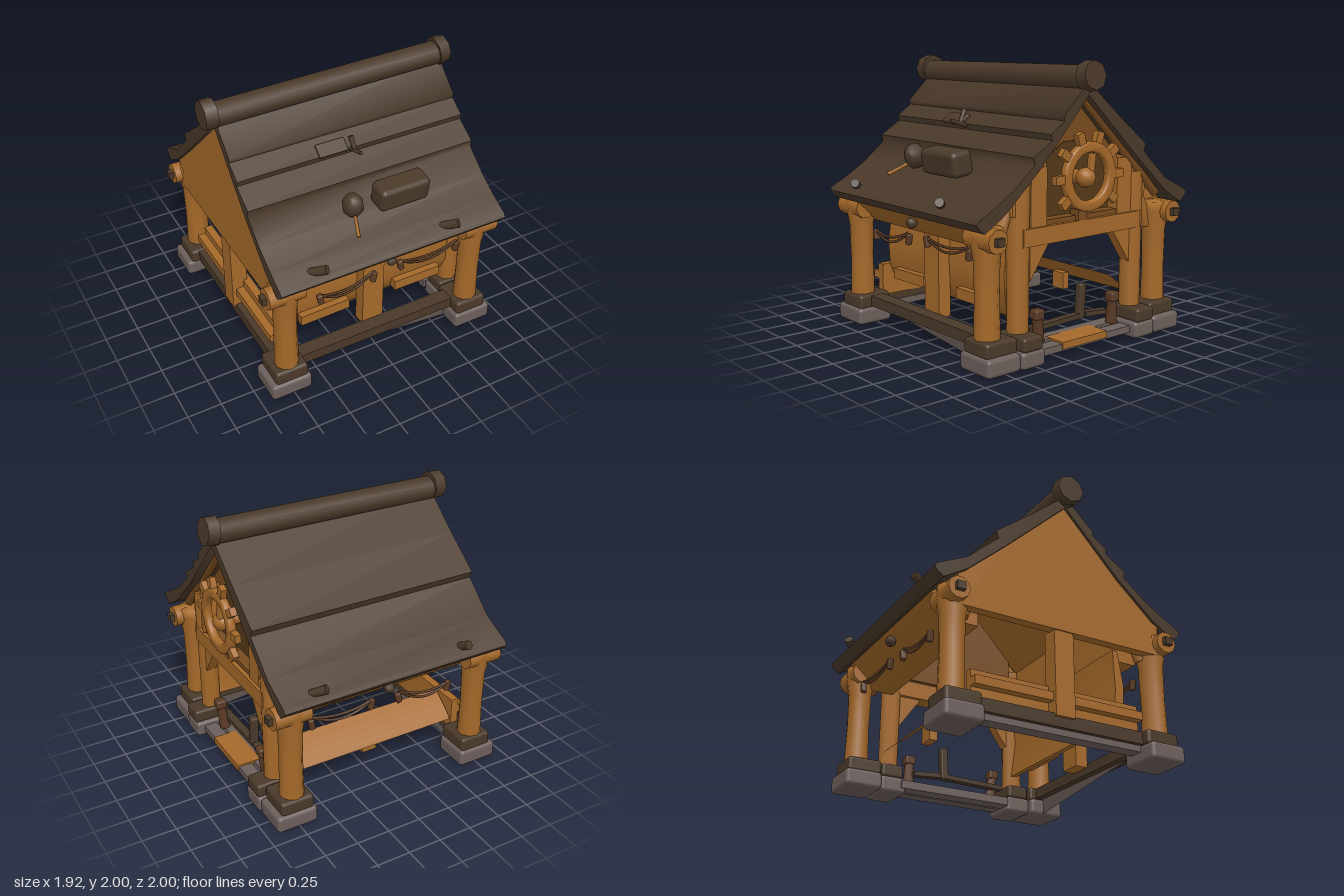
import * as THREE from 'three';
import { toCreasedNormals } from 'three/addons/utils/BufferGeometryUtils.js';
import { RoundedBoxGeometry } from 'three/addons/geometries/RoundedBoxGeometry.js';

const mat = (name, color) => {
  const m = new THREE.MeshStandardMaterial({ color });
  m.name = name;
  return m;
};

export function createModel() {
  const root = new THREE.Group();
  const wood = mat('warm wood', 0xa5692a);
  const shadeWood = mat('brown gable wood', 0x784b1e);
  const darkWood = mat('dark gable board', 0x553818);
  const roofMat = mat('dark roof wood', 0x4a3929);
  const stone = mat('grey stone', 0x6c5f5b);
  const rope = mat('rope brown', 0x5a3a24);
  const sheet = mat('thin stone', 0x60534e);
  const woodSheet = mat('thin wood', 0xa5692a);
  sheet.side = woodSheet.side = THREE.DoubleSide;

  const add = (name, geo, m, x = 0, y = 0, z = 0, rx = 0, ry = 0, rz = 0, parent = root) => {
    const mesh = new THREE.Mesh(geo, m);
    mesh.name = name;
    mesh.position.set(x, y, z);
    mesh.rotation.set(rx, ry, rz);
    parent.add(mesh);
    return mesh;
  };
  const box = (name, m, w, h, d, ...p) => add(name, new THREE.BoxGeometry(w, h, d), m, ...p);
  const block = (name, m, w, h, d, ...p) =>
    add(name, new RoundedBoxGeometry(w, h, d, 2, Math.min(w, h, d) * 0.22), m, ...p);
  // cylinder between two points
  const rod = (name, m, a, b, r0, r1 = r0, sides = 10) => {
    const A = new THREE.Vector3(...a), B = new THREE.Vector3(...b), d = B.clone().sub(A);
    const mesh = add(name, new THREE.CylinderGeometry(r1, r0, d.length(), sides), m);
    mesh.position.copy(A).add(B).multiplyScalar(0.5);
    mesh.quaternion.setFromUnitVectors(new THREE.Vector3(0, 1, 0), d.normalize());
    return mesh;
  };
  // extrude a [z, y] outline along x, softening shallow edges
  const slab = (name, m, pts, x0, x1) => {
    const g = new THREE.ExtrudeGeometry(new THREE.Shape(pts.map(p => new THREE.Vector2(...p))),
      { depth: x1 - x0, bevelEnabled: false });
    g.rotateY(-Math.PI / 2);
    return add(name, toCreasedNormals(g, 1.2), m, x1);
  };

  // Roof slopes with overlapping boards
  slab('frontRoof', roofMat, [[.03, 1.86], [.26, 1.64], [.25, 1.61], [.37, 1.53], [.36, 1.49], [.52, 1.39],
    [.51, 1.34], [.68, 1.2], [.84, 1.1], [.965, 1.035], [.985, 1.01], [.97, .985], [.92, .945],
    [.75, 1.05], [.46, 1.31], [.03, 1.77]], -0.87, 0.9);
  slab('backRoof', roofMat, [[.03, 1.86], [-.27, 1.61], [-.54, 1.4], [-.52, 1.35], [-.75, 1.14], [-.965, 1.035],
    [-.985, 1.01], [-.97, .985], [-.92, .945], [-.75, 1.05], [-.46, 1.31], [.03, 1.77]], -0.88, 0.89);
  // Wooden lining below the roof
  slab('roofLining', wood, [[.03, 1.768], [.46, 1.308], [.75, 1.048], [.74, 1.03], [.45, 1.29], [.03, 1.745],
    [-.45, 1.29], [-.74, 1.03], [-.75, 1.048], [-.46, 1.308]], -.8, .7);

  // Ridge log with thick ends
  rod('ridgeLog', roofMat, [-.9, 1.86, .025], [.9, 1.88, .025], .09);
  rod('ridgeEnd', roofMat, [-.955, 1.88, .025], [-.865, 1.88, .025], .105, .108, 8);
  rod('ridgeEnd', roofMat, [.865, 1.89, .025], [.95, 1.9, .025], .108, .1, 8);

  // Pegs poking out of the eaves
  for (const [x0, z0, x1, z1] of [[-.62, .89, -.53, .975], [.41, .89, .5, .975], [-.53, -.88, -.55, -.975], [.66, -.9, .58, -.975]]) {
    rod('roofPeg', roofMat, [x0, 1.05, z0], [x1, 1.1, z1], .028, .034, 7);
  }

  // Clutter on the front slope: bucket, trough and twig
  add('roofBucket', new THREE.SphereGeometry(.075, 8, 6).scale(1, 1.25, 1.1), roofMat, -.18, 1.31, .69, .2);
  rod('bucketHandle', wood, [-.19, 1.26, .74], [-.24, 1.19, .88], .012, .014, 6);
  block('roofTrough', roofMat, .39, .18, .17, .195, 1.31, .69, .15);
  rod('roofTwig', roofMat, [-.01, 1.52, .36], [-.01, 1.56, .5], .018, .014, 6);
  rod('roofTwig', roofMat, [-.01, 1.53, .42], [-.02, 1.63, .37], .014, .02, 6);
  block('roofPatch', roofMat, .22, .03, .1, -.15, 1.555, .34, .65);

  // Corner posts on stone footings, with top plates and pegs
  const postProfile = [[.09, 0], [.083, .3], [.088, .55], [.115, .7], [.11, .76], [0, .77]]
    .map(p => new THREE.Vector2(...p));
  for (const sz of [1, -1]) {
    for (const sx of [1, -1]) {
      add('cornerPost', new THREE.LatheGeometry(postProfile, 10), wood, sx * .755, .19, sz * .79);
      block('cornerStone', stone, .31, .125, .28, sx * .765, .0625, sz * .77);
      block('cornerPad', roofMat, .25, .11, .26, sx * .755, .165, sz * .76);
      rod('plateEnd', wood, [sx * .64, .885, sz * .82], [sx * .91, .885, sz * .82], .08);
      box('endPeg', roofMat, .05, .055, .06, sx * .92, .885, sz * .82);
      rod('kneeBrace', wood, [sx * .74, .78, sz * .72], [sx * .74, 1.12, sz * .58], .05, .04, 6);
    }
    // Sloping boarded soffit under the eave
    slab('soffit', wood, [[sz * .9, .95], [sz * .72, .78], [sz * .55, .78], [sz * .55, 1.2], [sz * .75, 1.05]], -.66, .7);
    add('centrePeg', new THREE.SphereGeometry(.04, 8, 6), roofMat, .03, .88, sz * .87);
    // Swagged ropes with ties
    for (const [x0, x1, y0, y1] of [[-.5, -.08, .74, .79], [.14, .61, .79, .8]]) {
      for (const sag of [.05, .1]) {
        const c = new THREE.QuadraticBezierCurve3(new THREE.Vector3(x0, y0, sz * .82),
          new THREE.Vector3((x0 + x1) / 2, Math.min(y0, y1) - sag * 1.4 + .01, sz * .84),
          new THREE.Vector3(x1, y1, sz * .82));
        add('rope', new THREE.TubeGeometry(c, 12, .01, 5), rope);
      }
      block('ropeTie', rope, .04, .08, .04, x0, y0 - .03, sz * .82, 0, 0, .2);
      block('ropeTie', rope, .04, .08, .04, x1, y1 - .05, sz * .82, 0, 0, -.2);
    }
  }

  // Front wall: gently bowed boarding, centre post, small ledges and sill
  slab('frontWall', wood, [[.54, .3], [.59, .42], [.6, .6], [.56, .85], [.52, .85], [.53, .55], [.5, .3]], -.68, .7);
  box('frontCentrePost', wood, .17, .62, .1, .005, .49, .64);
  box('frontLedge', wood, .39, .08, .06, -.36, .38, .61, 0, 0, .02);
  box('frontLedge', wood, .39, .08, .06, .42, .385, .61);
  box('frontSill', roofMat, 1.3, .08, .11, 0, .17, .74);

  // Back apron: a curved sheet leaning inward
  const apron = new THREE.PlaneGeometry(1.3, 1, 1, 4).rotateY(Math.PI);
  const ap = apron.attributes.position;
  for (let i = 0; i < ap.count; i++) {
    const t = ap.getY(i) + .5;
    ap.setXYZ(i, ap.getX(i) - .03, .26 + .16 * t, -.65 + .14 * t + .06 * t * t);
  }
  apron.computeVertexNormals();
  add('backApron', apron, woodSheet);
  box('backCentrePost', wood, .12, .13, .06, 0, .24, -.56);

  // Skewed stone skirt below the front sill
  const skirt = new THREE.Shape([[-.62, .14], [.62, .01], [.62, .14]].map(p => new THREE.Vector2(...p)));
  add('stoneSkirt', new THREE.ShapeGeometry(skirt), sheet, 0, 0, .74);

  // Closed gable side (-x)
  slab('closedGable', wood, [[.03, 1.78], [.46, 1.32], [.8, 1.02], [.78, .8], [-.78, .8], [-.8, 1.02], [-.46, 1.32]], -.85, -.78);
  box('sidePost', wood, .12, .62, .15, -.78, .5, .005);
  box('sideWall', wood, .06, .24, 1.3, -.72, .3, 0);
  box('sideRail', wood, .1, .06, 1.3, -.76, .33, 0);
  box('sideSill', roofMat, .12, .09, 1.3, -.76, .165, 0);
  box('sideFooting', stone, .1, .05, 1.3, -.74, .1, 0);

  // Open gable side (+x): boards, beams and inner posts
  slab('gableBoard', shadeWood, [[.03, 1.77], [.46, 1.31], [.47, 1.3], [.47, .93], [-.47, .93], [-.47, 1.3], [-.42, 1.32]], .68, .72);
  slab('gablePanel', darkWood, [[.33, .93], [.33, 1.3], [.1, 1.45], [-.1, 1.45], [-.33, 1.3], [-.33, .93]], .721, .729);
  box('tieBeam', wood, .14, .12, 1.1, .77, .855, 0);
  box('tieBeamCap', shadeWood, .1, .04, .94, .76, .93, 0);
  box('centreBlock', shadeWood, .08, .08, .08, .8, .95, .02);
  for (const s of [1, -1]) {
    rod('innerPost', wood, [.76, .2, s * .535], [.76, 1.2, s * .535], .075, .08, 8);
    box('gablePost', wood, .1, .42, .14, .77, 1.1, s * .4);
    slab('postHead', wood, [[s * .33, 1.0], [s * .62, 1.0], [s * .62, 1.15], [s * .46, 1.3], [s * .33, 1.34]], .72, .81);
    slab('cornerBrace', wood, [[s * .47, .55], [s * .47, .81], [s * .29, .81]], .73, .81);
    rod('rafter', shadeWood, [.8, 1.02, s * .74], [.8, 1.74, s * .03 + .02], .035, .035, 6);
    block('innerStone', stone, .29, .12, .2, .785, .06, s * .53);
    block('innerPad', roofMat, .28, .1, .17, .79, .165, s * .535);
    // Bollards by the doorway
    const z = s * .35;
    rod('bollard', rope, [.74, .1, z - .02], [.76, .3, z + s * .01], .042, .034, 8);
    block('bollardHead', rope, .08, .07, .08, .76, .3, z + s * .01);
  }

  // Doorway threshold and lever
  box('thresholdStone', stone, .12, .06, .9, .69, .07, -.02);
  box('thresholdStone', stone, .1, .05, .9, .82, .065, -.02);
  box('thresholdPlank', wood, .18, .05, .42, .79, .078, .02);
  box('thresholdRail', roofMat, .06, .035, .5, .7, .19, .15, .03);
  box('thresholdRail', roofMat, .06, .035, .22, .7, .19, -.24, -.08);
  block('lever', roofMat, .06, .25, .06, .7, .3, -.1, -.06);

  // Toothed wheel on the open gable
  const wheel = new THREE.Group();
  wheel.name = 'wheel';
  wheel.position.set(.865, 1.22, .01);
  wheel.rotation.y = Math.PI / 2;
  root.add(wheel);
  const ring = new THREE.Shape().absarc(0, 0, .225, 0, Math.PI * 2);
  ring.holes.push(new THREE.Path().absarc(0, 0, .18, 0, Math.PI * 2, true));
  const rim = new THREE.ExtrudeGeometry(ring,
    { depth: .03, bevelSize: .014, bevelThickness: .014, bevelSegments: 2, curveSegments: 12 });
  add('wheelRim', toCreasedNormals(rim, 1.2), wood, 0, 0, 0, 0, 0, 0, wheel);
  for (let i = -4; i < 5; i++) {
    const a = Math.PI / 2 + (i + .5) * Math.PI / 5;
    if (i < 4) box('wheelTooth', wood, .1, .06, .045, Math.cos(a) * .262, Math.sin(a) * .262, .015, 0, 0, a, wheel);
  }
  add('wheelHub', new THREE.SphereGeometry(.07, 9, 6), wood, 0, -.01, -.01, 0, 0, 0, wheel);
  rod('axle', wood, [.7, 1.21, .01], [.86, 1.21, .01], .05);
  block('hubHandle', wood, .045, .13, .045, .03, .09, .01, 0, 0, -.1, wheel);

  return root;
}
